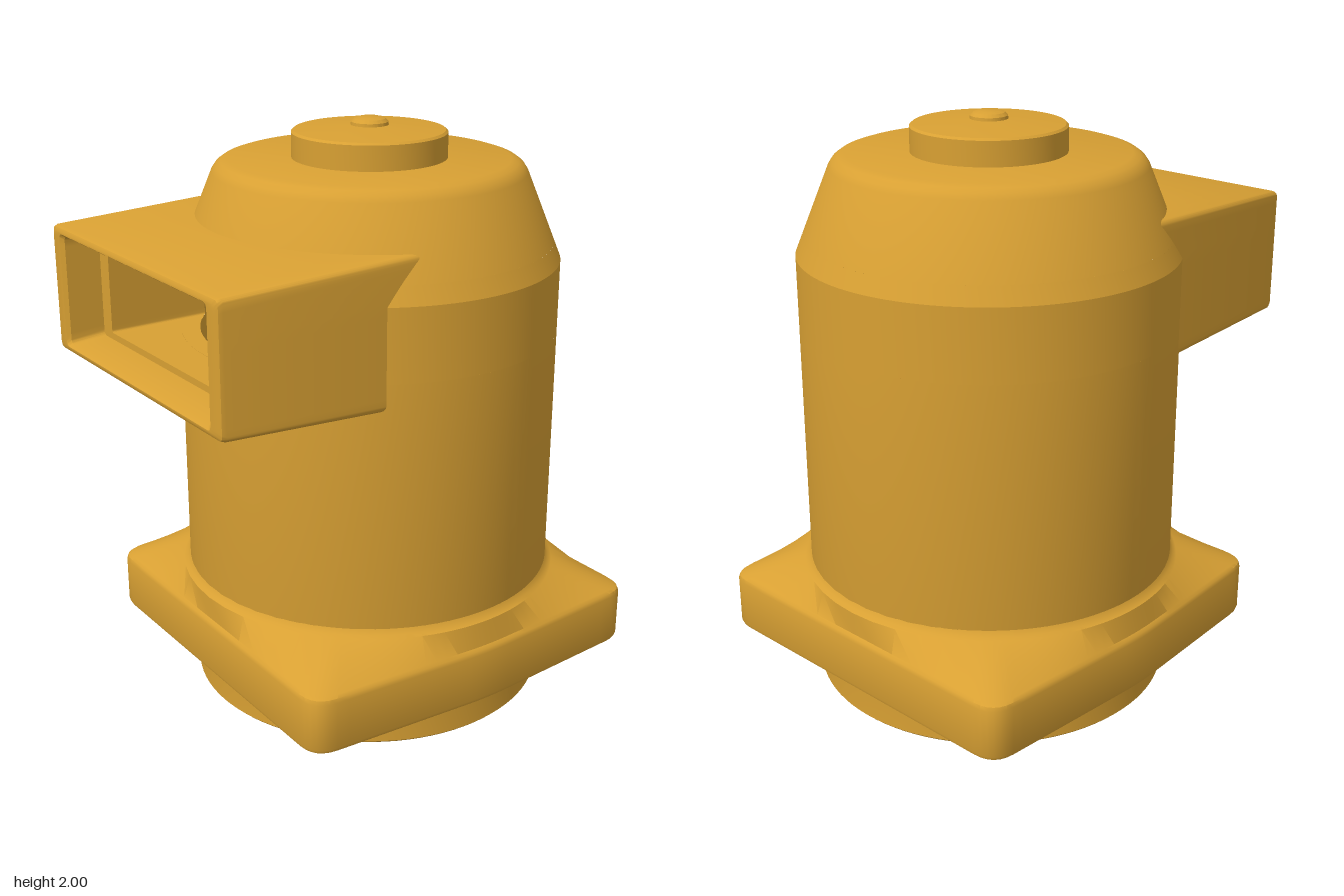
import * as THREE from 'three';
import { toCreasedNormals } from 'three/addons/utils/BufferGeometryUtils.js';

const paint = new THREE.MeshStandardMaterial({ color: 0xd8a033 });
const holePaint = new THREE.MeshStandardMaterial({ color: 0xd8a033, side: THREE.BackSide });
const pinPaint = new THREE.MeshStandardMaterial({ color: 0xffee00, side: THREE.BackSide });

// Outer and inner wall radius of the housing at height y
const outerR = (y) => 0.645 - Math.max(0, y - 1.54) * 0.41;
const innerR = (y) => outerR(y) - 0.065;

const WINDOW = [1.295, 1.6]; // heights of the port opening in the wall
const TAU = Math.PI * 2;

function mesh(name, geometry, material = paint) {
  const m = new THREE.Mesh(geometry, material);
  m.name = name;
  return m;
}

// Turned part; gap is the half angle left open towards the port (+z)
function turned(name, points, gap = 0) {
  const pts = points.map(([r, y]) => new THREE.Vector2(r, y));
  const g = new THREE.LatheGeometry(pts, 96, gap, TAU - 2 * gap);
  return mesh(name, toCreasedNormals(g, 0.385));
}

// Polygon outline with rounded corners and subdivided edges
function outline(corners, round, steps = 12) {
  const v = corners.map(([x, y]) => new THREE.Vector2(x, y));
  const n = v.length;
  const cut = (a, b) => a.clone().add(b.clone().sub(a).setLength(round));
  const out = [];
  v.forEach((c, i) => {
    const prev = v[(i + n - 1) % n], next = v[(i + 1) % n];
    const arc = new THREE.QuadraticBezierCurve(cut(c, prev), c, cut(c, next));
    out.push(...arc.getPoints(6));
    const end = cut(next, c);
    for (let k = 1; k < steps; k++) out.push(cut(c, next).lerp(end, k / steps));
  });
  return out;
}

// Skin over closed rings with equal point counts
function loft(name, rings) {
  const n = rings[0].length;
  const index = [];
  for (let j = 0; j < rings.length - 1; j++) {
    for (let i = 0; i < n; i++) {
      const a = j * n + i, b = j * n + (i + 1) % n;
      index.push(a, b, a + n, b + n, a + n, b);
    }
  }
  const g = new THREE.BufferGeometry().setFromPoints(rings.flat());
  g.setIndex(index);
  return mesh(name, toCreasedNormals(g, 0.6));
}

function housing() {
  const g = new THREE.Group();
  g.name = 'housing';
  const [lo, hi] = WINDOW;
  // Outside: spigot and barrel, open band at the port, tapered shoulder
  g.add(turned('barrel', [[0.58, 0], [0.617, 0], [0.625, 0.008], [0.625, 0.3],
    [0.645, 0.41], [0.645, lo]]));
  g.add(turned('barrelBand', [[0.645, lo], [0.645, 1.54], [outerR(hi), hi]], 0.75));
  g.add(turned('shoulder', [[outerR(hi), hi], [outerR(1.83), 1.83], [0.513, 1.849],
    [0.495, 1.862], [0.47, 1.87], [0, 1.87]]));
  // Hollow inside
  g.add(turned('cavityTop', [[0, 1.8], [innerR(1.8), 1.8], [innerR(hi), hi]]));
  g.add(turned('cavityBand', [[innerR(hi), hi], [0.58, 1.54], [0.58, lo]], 0.76));
  g.add(turned('cavity', [[0.58, lo], [0.58, 0]]));
  // Lid and knob
  g.add(turned('lid', [[0.26, 1.86], [0.26, 1.953], [0.252, 1.96], [0.06, 1.975], [0, 1.975]]));
  g.add(turned('knob', [[0.064, 1.965], [0.062, 1.985], [0.052, 1.995], [0.036, 2], [0, 2]]));
  return g;
}

function flange() {
  const g = new THREE.Group();
  g.name = 'flange';
  const plan = outline([[-0.655, 0.68], [0.655, 0.68], [0.7, 0],
    [0.655, -0.68], [-0.655, -0.68], [-0.7, 0]], 0.085);
  const ring = (y, s) => plan.map((p) => new THREE.Vector3(p.x * s, y, p.y * s));
  const circle = (y, r) => plan.map((p) => {
    const k = r / p.length();
    return new THREE.Vector3(p.x * k, y, p.y * k);
  });
  // Square plate blending up into the round barrel
  g.add(loft('flangePlate', [ring(0.14, 0.982), ring(0.145, 0.994), ring(0.157, 1),
    ring(0.322, 1), ring(0.336, 0.994), ring(0.344, 0.98),
    circle(0.425, 0.668), circle(0.432, 0.655), circle(0.45, 0.645)]));

  // Underside with blind bolt holes, two per corner
  const under = new THREE.Shape(plan.map((p) => p.clone().multiplyScalar(0.982)));
  under.holes.push(new THREE.Path().absarc(0, 0, 0.62, 0, TAU, true));
  for (const sx of [-1, 1]) {
    for (const sz of [-1, 1]) {
      for (const [x, z, material] of [[0.53, 0.575, pinPaint], [0.41, 0.6, holePaint]]) {
        under.holes.push(new THREE.Path().absarc(sx * x, sz * z, 0.028, 0, TAU, true));
        const hole = mesh('boltHole', new THREE.CylinderGeometry(0.028, 0.028, 0.1, 24), material);
        hole.position.set(sx * x, 0.19, sz * z);
        g.add(hole);
      }
    }
  }
  const face = new THREE.ShapeGeometry(under, 32).rotateX(Math.PI / 2).translate(0, 0.14, 0);
  g.add(mesh('flangeUnderside', face));
  return g;
}

// Rectangular port: drafted sleeve, rounded lip, stepped tunnel into the cavity
function port() {
  const ring = (z, w, h, round) =>
    outline([[-w, -h], [w, -h], [w, h], [-w, h]], round, 20).map((p) => {
      const y = p.y + 1.446;
      const depth = typeof z === 'number' ? z
        : Math.sqrt(Math.max(0, z(y) ** 2 - p.x ** 2));
      return new THREE.Vector3(p.x, y, depth);
    });
  return loft('port', [
    ring((y) => outerR(y) - 0.03, 0.553, 0.244, 0.02),
    ring(0.892, 0.539, 0.216, 0.02),
    ring(0.906, 0.534, 0.211, 0.02),
    ring(0.912, 0.522, 0.2, 0.02),
    ring(0.912, 0.48, 0.194, 0.02),
    ring(0.9, 0.467, 0.186, 0.02),
    ring(0.78, 0.46, 0.175, 0.02),
    ring(0.78, 0.4, 0.152, 0.01),
    ring(innerR, 0.4, 0.152, 0.01),
  ]);
}

export function createModel() {
  const pump = new THREE.Group();
  pump.name = 'pumpBody';
  pump.add(housing(), flange(), port());
  // Port turned to the model's front right
  pump.rotation.y = -0.957;
  pump.position.set(0.07, 0, -0.032);
  const model = new THREE.Group();
  model.name = 'pump';
  model.add(pump);
  return model;
}
